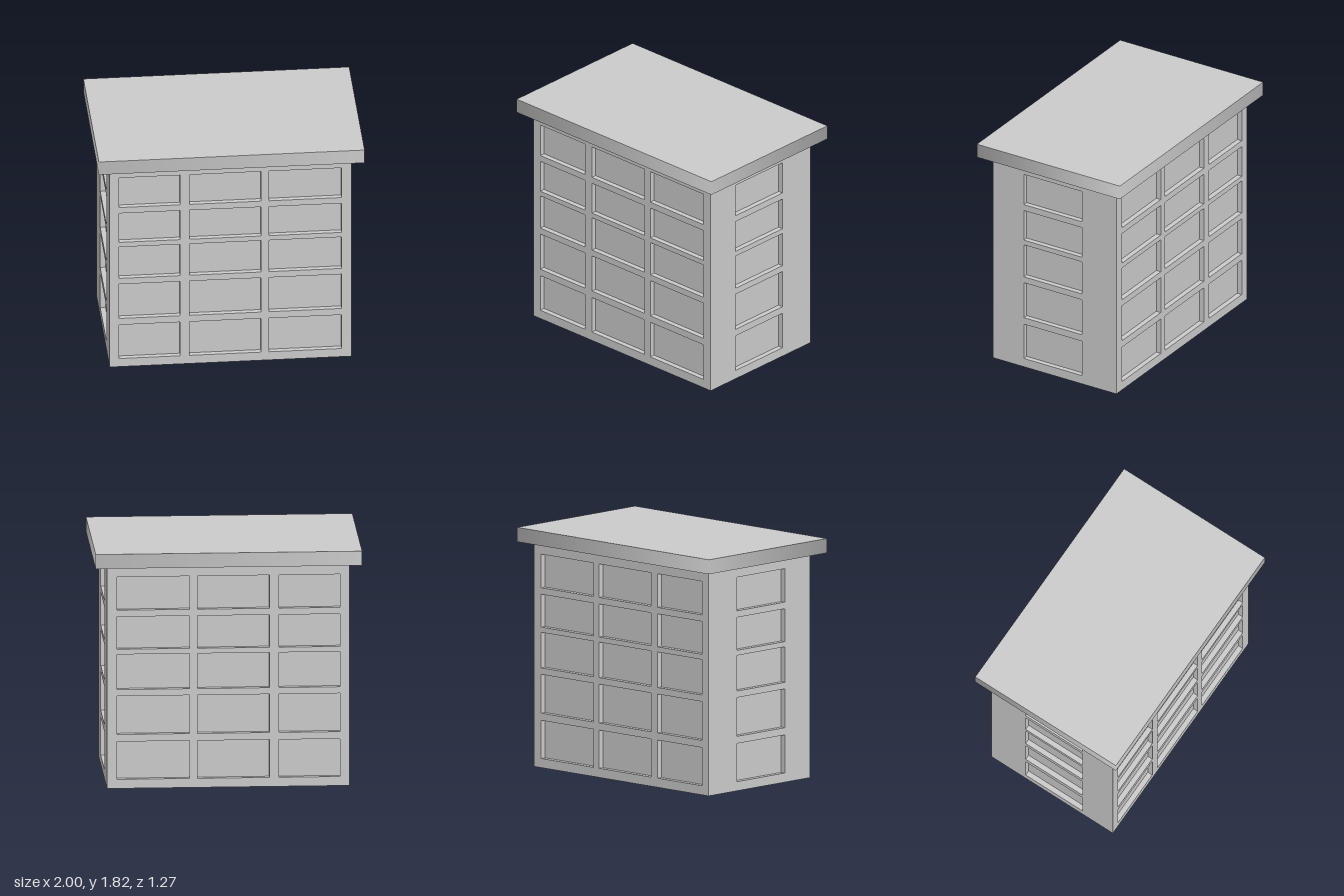
import * as THREE from 'three';

const W = 0.91, D = 0.547, H = 1.71; // half width, half depth and height of the walls
const RECESS = 0.04;
const ROWS = [[0.07, 0.36], [0.415, 0.71], [0.76, 1.03], [1.07, 1.32], [1.37, 1.625]];
const COLUMNS = [[-0.84, -0.38], [-0.31, 0.23], [0.29, 0.835]];
const SIDE_COLUMNS = [[-0.24, 0.275]];

// Upright wall panel with a grid of rectangular window openings
function wallGeometry(half, columns) {
  const shape = new THREE.Shape([
    new THREE.Vector2(-half, 0), new THREE.Vector2(half, 0),
    new THREE.Vector2(half, H), new THREE.Vector2(-half, H),
  ]);
  for (const [x0, x1] of columns) {
    for (const [y0, y1] of ROWS) {
      shape.holes.push(new THREE.Path([
        new THREE.Vector2(x0, y0), new THREE.Vector2(x0, y1),
        new THREE.Vector2(x1, y1), new THREE.Vector2(x1, y0),
      ]));
    }
  }
  return new THREE.ExtrudeGeometry(shape, { depth: RECESS, bevelEnabled: false });
}

export function createModel() {
  const group = new THREE.Group();
  const material = new THREE.MeshStandardMaterial({ color: 0xcccccc });
  const add = (name, geometry, x, y, z) => {
    const mesh = new THREE.Mesh(geometry, material);
    mesh.name = name;
    mesh.position.set(x, y, z);
    group.add(mesh);
  };

  // Core block, whose faces show as the recessed window panes
  add('core', new THREE.BoxGeometry(2 * (W - RECESS), H, 2 * (D - RECESS)), 0, H / 2, 0);

  // Front and back walls
  const longWall = wallGeometry(W, COLUMNS);
  add('frontWall', longWall, 0, 0, D - RECESS);
  add('backWall', longWall, 0, 0, -D);

  // Side walls, fitted between the front and back walls
  const sideWall = wallGeometry(D - RECESS, SIDE_COLUMNS).rotateY(-Math.PI / 2);
  add('leftWall', sideWall, W, 0, 0);
  add('rightWall', sideWall, -W + RECESS, 0, 0);

  // Overhanging roof slab: flat top and bottom, rim shaded smoothly round the corners
  const roof = new THREE.CylinderGeometry(Math.SQRT2, Math.SQRT2, 0.11, 4, 1, false, Math.PI / 4);
  roof.scale(1, 1, 0.635);
  add('roof', roof, 0, H + 0.055, 0);

  return group;
}
